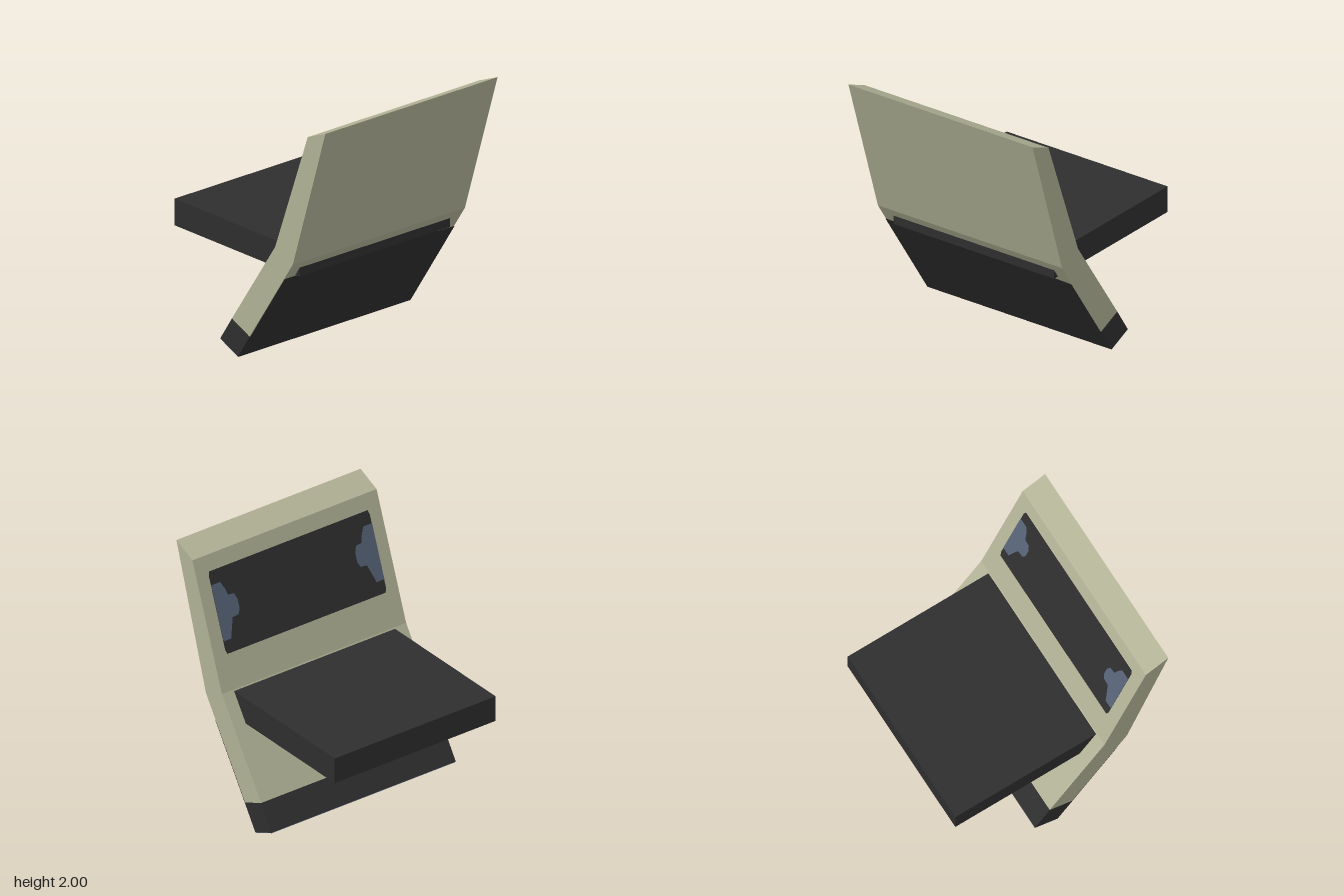
import * as THREE from 'three';

export function createModel() {
  const group = new THREE.Group();
  const material = (name, color, side = THREE.FrontSide) => {
    const m = new THREE.MeshStandardMaterial({ color, side });
    m.name = name;
    return m;
  };
  const shell = material('beige shell', 0xb0b195);
  const dark = material('dark upholstery', 0x2e2e2e, THREE.DoubleSide);
  const blue = material('slate blue', 0x566276, THREE.DoubleSide);

  const add = (name, geometry, mat) => {
    const mesh = new THREE.Mesh(geometry, mat);
    mesh.name = name;
    group.add(mesh);
    return mesh;
  };
  const toShape = (pts) => new THREE.Shape(pts.map(([a, b]) => new THREE.Vector2(a, b)));

  // Side profile given as (z, y), extruded across the full width
  const WIDTH = 1.66;
  const slab = (name, pts, mat) => {
    const g = new THREE.ExtrudeGeometry(toShape(pts), { depth: WIDTH, bevelEnabled: false });
    g.translate(0, 0, -WIDTH / 2);
    g.rotateY(-Math.PI / 2);
    return add(name, g, mat);
  };

  // Flat panel drawn as (x, z) or (x, y) points and laid on the line a-b of the profile
  const panel = (name, pts, axis, a, b, offset, mat) => {
    const g = new THREE.ShapeGeometry(toShape(pts));
    const p = g.attributes.position;
    const dz = b[0] - a[0], dy = b[1] - a[1], len = Math.hypot(dz, dy);
    for (let i = 0; i < p.count; i++) {
      const t = axis === 'z' ? (p.getY(i) - a[0]) / dz : (p.getY(i) - a[1]) / dy;
      p.setXYZ(i, p.getX(i),
        a[1] + t * dy + offset * dz / len,
        a[0] + t * dz - offset * dy / len);
    }
    g.computeVertexNormals();
    return add(name, g, mat);
  };

  // Corners of the bent backrest
  const topFront = [0.87, 2.0], bendFront = [0.52, 0.89], splitFront = [0.055, 0.195], footFront = [-0.07, 0.005];
  const topBack = [0.68, 1.92], bendBack = [0.33, 0.97], splitBack = [-0.135, 0.28], footBack = [-0.26, 0.09];

  slab('backrestShell', [splitBack, splitFront, bendFront, topFront, topBack, bendBack], shell);
  slab('foot', [footBack, footFront, splitFront, splitBack], dark);

  // Seat cushion passing through the shell
  const seat = add('seat', new THREE.BoxGeometry(1.45, 0.205, 1.345), dark);
  seat.position.set(0, 0.8575, -0.1975);

  // Dark cover on the lower front, with its slightly sloping upper edge
  panel('lowerFrontCover', [[-0.83, 0.005], [0.83, 0.005], [0.83, 0.717], [0, 0.752], [-0.83, 0.752]],
    'y', bendFront, footFront, 0.004, dark);

  // Blue underside of the foot
  panel('footSole', [[-0.83, -0.26], [0.83, -0.26], [0.83, -0.07], [-0.83, -0.07]],
    'z', footFront, footBack, 0.003, blue);

  // Dark panel with notched corners on the upper inner face
  const W = 0.725, n = 0.012, z0 = 0.422, z1 = 0.638;
  panel('innerPanel', [
    [-W + n, z0], [W - n, z0], [W, z0 + n], [W, z1 - n],
    [W - n, z1], [-W + n, z1], [-W, z1 - n], [-W, z0 + n],
  ], 'z', bendBack, topBack, 0.004, dark);

  // Mirrored blue patches on the inner panel
  const patch = [
    [0.725, 0.456], [0.655, 0.456], [0.64, 0.472], [0.605, 0.506], [0.55, 0.508], [0.53, 0.522],
    [0.53, 0.546], [0.55, 0.563], [0.602, 0.565], [0.615, 0.582], [0.645, 0.603], [0.725, 0.603],
  ];
  for (const [side, s] of [['left', 1], ['right', -1]]) {
    panel(side + 'PanelPatch', patch.map(([x, z]) => [s * x, z]), 'z', bendBack, topBack, 0.008, blue);
  }

  return group;
}
